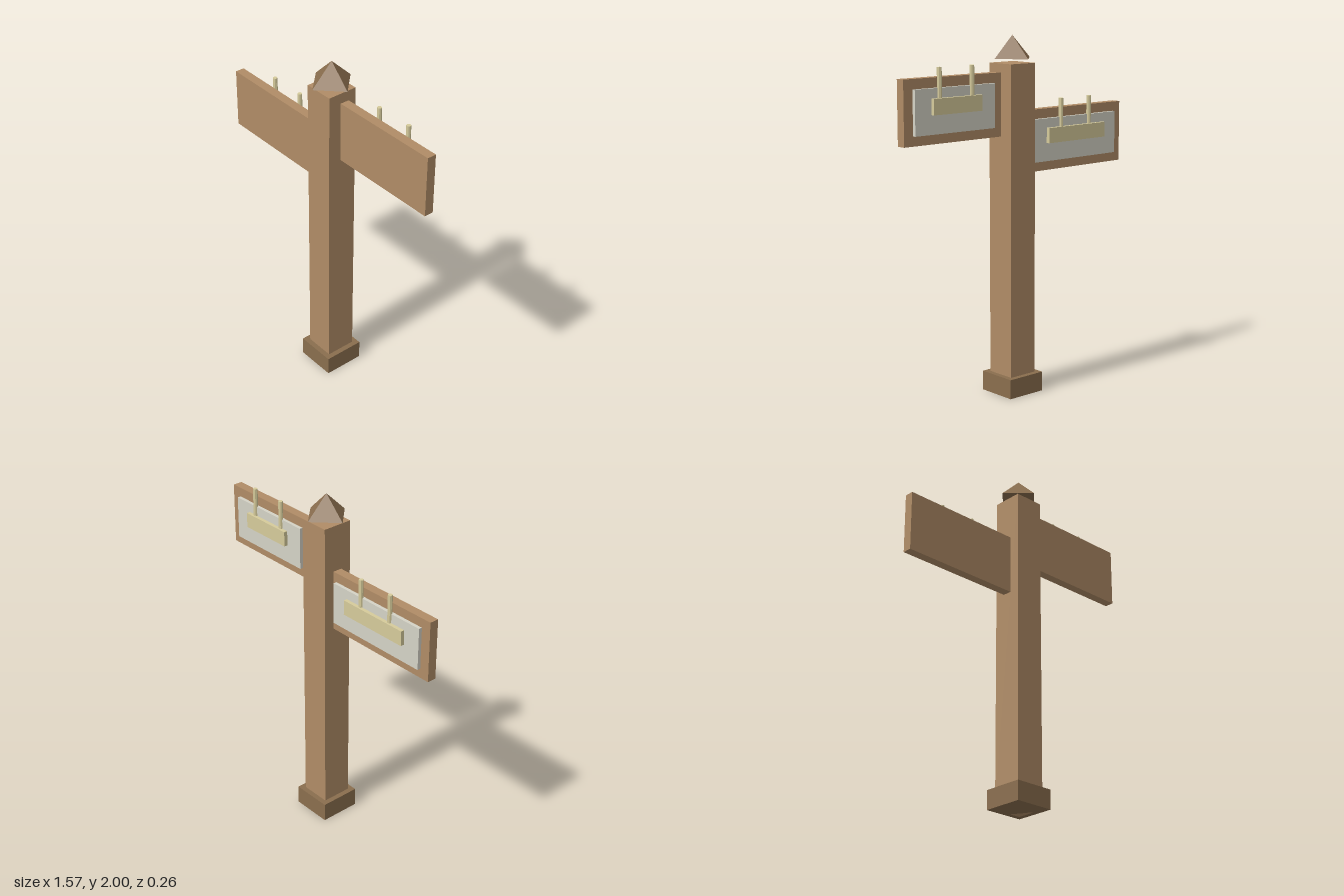
import * as THREE from 'three';

const mat = (color) => new THREE.MeshStandardMaterial({ color, flatShading: true });

export function createModel() {
  const group = new THREE.Group();
  const wood = mat(0xb08c66), darkWood = mat(0x8a6e4e);
  const panel = mat(0xd5d3c6), brass = mat(0xd6cb9b);

  const add = (parent, name, geometry, material, x, y, z) => {
    const mesh = new THREE.Mesh(geometry, material);
    mesh.name = name;
    mesh.position.set(x, y, z);
    parent.add(mesh);
    return mesh;
  };
  const box = (w, h, d) => new THREE.BoxGeometry(w, h, d);

  // Upright with a plinth and a floating pyramid cap turned corner-forward
  const postX = 0.025;
  add(group, 'post', box(0.176, 1.85, 0.176), wood, postX, 0.925, 0);
  add(group, 'plinth', box(0.237, 0.11, 0.237), darkWood, postX, 0.055, 0);
  add(group, 'cap', new THREE.ConeGeometry(0.128, 0.125, 4), darkWood, postX, 1.9375, 0);

  // Sign arm: board, rear panel, mounting bar and two pegs
  const addSign = (name, x, y, width, barWidth) => {
    const sign = new THREE.Group();
    sign.name = name;
    sign.position.set(x, y, 0);
    add(sign, 'board', box(width, 0.346, 0.053), wood, 0, 0, 0);
    add(sign, 'rearPanel', box(width - 0.116, 0.24, 0.02), panel, 0, 0, -0.036);
    add(sign, 'mountingBar', box(barWidth, 0.085, 0.028), brass, 0, 0.025, -0.053);
    for (const side of [-1, 1]) {
      add(sign, 'peg', new THREE.CylinderGeometry(0.013, 0.013, 0.165, 8), brass, side * 0.109, 0.144, -0.045);
    }
    group.add(sign);
  };
  addSign('upperSign', 0.458, 1.632, 0.655, 0.325);
  addSign('lowerSign', -0.408, 1.414, 0.76, 0.435);

  return group;
}
